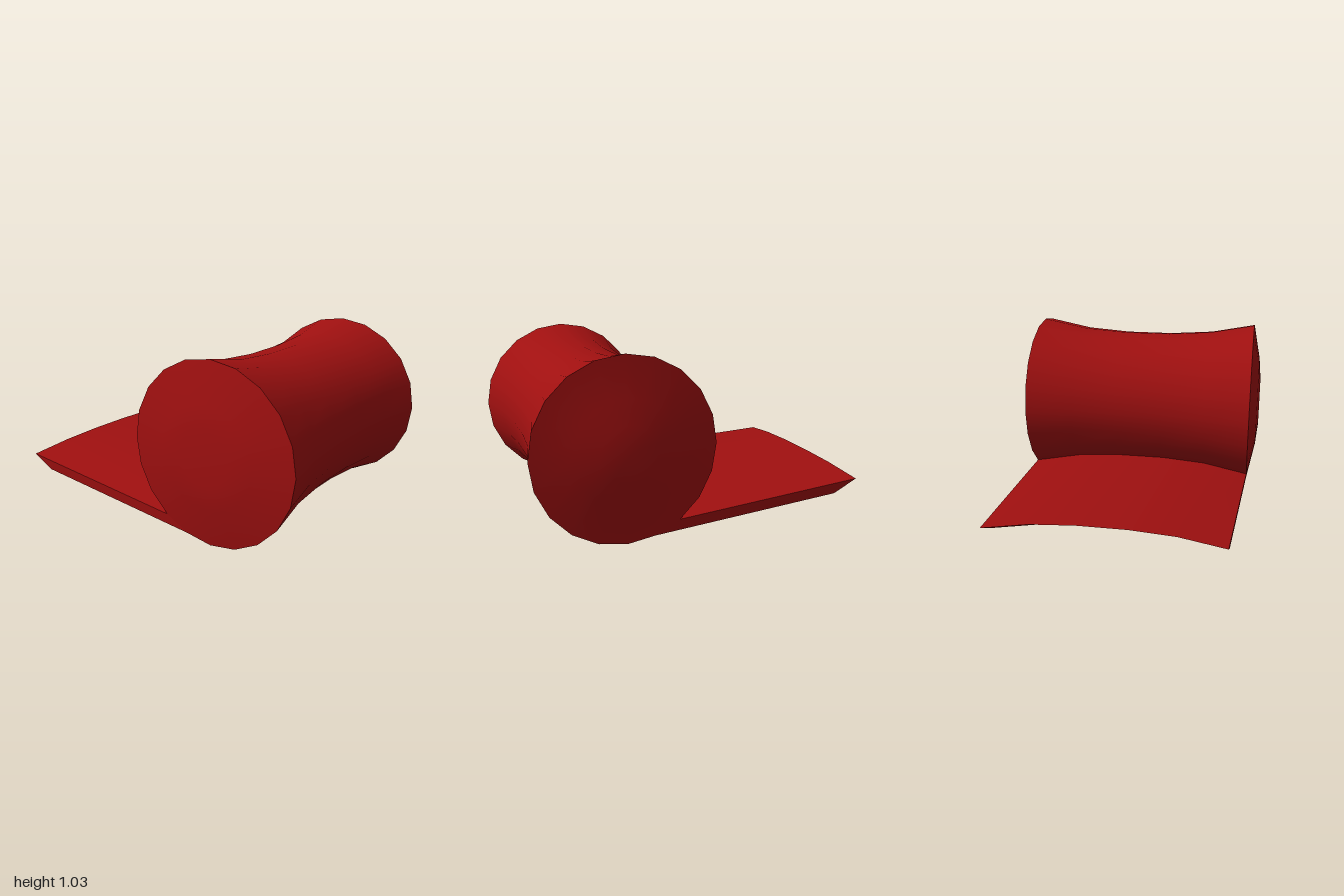
import * as THREE from 'three';
import { mergeGeometries } from 'three/addons/utils/BufferGeometryUtils.js';

const SIDES = 20;
const AXIS_Y = 0.52, AXIS_Z = 0.485, RIM = 0.515;
// Waisted barrel rings: [x, radius]
const RINGS = [[-0.715, RIM], [-0.43, 0.46], [-0.15, 0.44], [0.15, 0.44], [0.43, 0.46], [0.715, RIM]];
const STEP = (Math.PI * 2) / SIDES;

// Revolve an [x, radius] profile around the roll's horizontal axis
function revolve(profile) {
  const points = profile.map(([x, r]) => new THREE.Vector2(r, x));
  const geo = new THREE.LatheGeometry(points, SIDES);
  geo.rotateZ(-Math.PI / 2);
  return geo.translate(0, AXIS_Y, AXIS_Z);
}

// Smooth strip of quads between two rows of points
function strip(p, q) {
  const n = p.length, index = [];
  for (let i = 0; i < n - 1; i++) {
    index.push(i, i + 1, n + i + 1, i, n + i + 1, n + i);
  }
  const geo = new THREE.BufferGeometry().setFromPoints([...p, ...q]);
  geo.setIndex(index);
  geo.computeVertexNormals();
  return geo;
}

// Flap row lying on the roll surface, a given number of facets behind the bottom
function rootRow(facets) {
  const a = facets * STEP;
  return RINGS.map(([x, r]) =>
    new THREE.Vector3(x, AXIS_Y - r * Math.cos(a), AXIS_Z - r * Math.sin(a)));
}

// Matching row at the free end, slightly narrower and shallower
function endRow(facets, y, z) {
  const a = facets * STEP;
  return RINGS.map(([x, r]) => {
    const k = (RIM - r) * 0.74;
    return new THREE.Vector3(x * 0.923, y + k * Math.cos(a), z + k * Math.sin(a));
  });
}

function flapGeometry() {
  const topRoot = rootRow(2), topEnd = endRow(2, 0.175, -1);
  const lowRoot = rootRow(1), lowEnd = endRow(1, 0.1, -0.85);
  const last = RINGS.length - 1;
  return mergeGeometries([
    strip(topRoot, topEnd),
    strip(topEnd, lowEnd),
    strip(lowEnd, lowRoot),
    strip([topRoot[last], lowRoot[last]], [topEnd[last], lowEnd[last]]),
    strip([lowRoot[0], topRoot[0]], [lowEnd[0], topEnd[0]]),
  ]);
}

export function createModel() {
  const model = new THREE.Group();
  model.name = 'rollWithFlap';
  const red = new THREE.MeshStandardMaterial({ color: 0xa01010 });
  const add = (name, geo) => {
    const mesh = new THREE.Mesh(geo, red);
    mesh.name = name;
    model.add(mesh);
  };

  // Roll, with a shallow bulge on each end
  add('rollBarrel', revolve(RINGS));
  add('leftEndCap', revolve([[0.715, RIM], [0.735, 0.29], [0.772, 0.155], [0.773, 0]]));
  add('rightEndCap', revolve([[-0.773, 0], [-0.773, 0.155], [-0.76, 0.29], [-0.715, RIM]]));

  // Arched flap running back from the underside of the roll
  add('flap', flapGeometry());
  return model;
}
